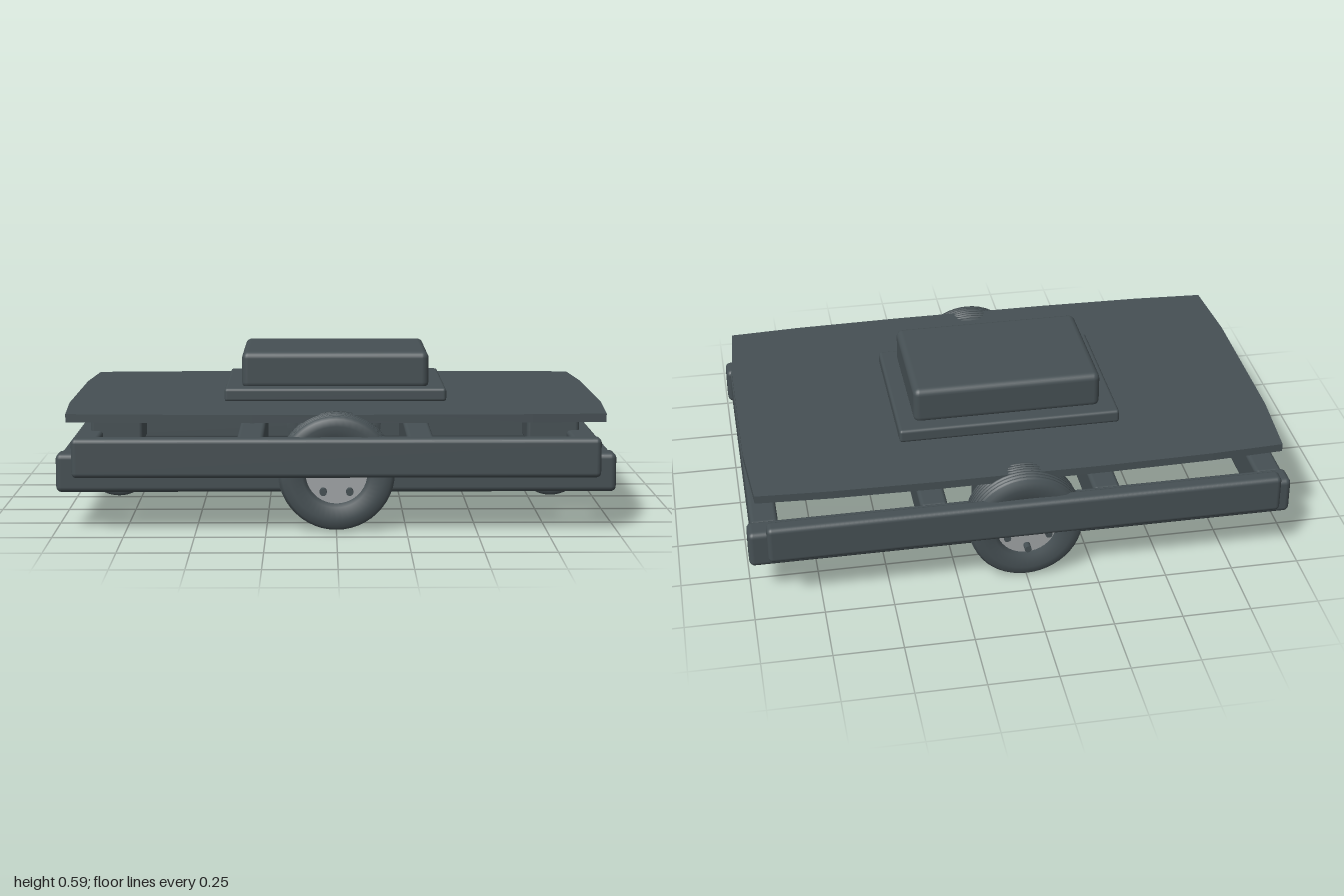
import * as THREE from 'three';
import { RoundedBoxGeometry } from 'three/addons/geometries/RoundedBoxGeometry.js';

const body = new THREE.MeshStandardMaterial({ color: 0x465054 });
body.name = 'dark slate';
const metal = new THREE.MeshStandardMaterial({ color: 0xa0a4a6 });
metal.name = 'hub grey';

export function createModel() {
  const model = new THREE.Group();
  model.name = 'wheeledPlatform';

  const add = (name, geometry, material, parent = model) => {
    const mesh = new THREE.Mesh(geometry, material);
    mesh.name = name;
    parent.add(mesh);
    return mesh;
  };
  // Rounded box given by its limits on each axis
  const box = (name, [x0, x1], [y0, y1], [z0, z1], r = 0.015, parent = model) => {
    const mesh = add(name, new RoundedBoxGeometry(x1 - x0, y1 - y0, z1 - z0, 3, r), body, parent);
    mesh.position.set((x0 + x1) / 2, (y0 + y1) / 2, (z0 + z1) / 2);
    return mesh;
  };
  // The same box on the front and back sides
  const sides = (name, x, y, [z0, z1], r) => {
    box(name + 'Front', x, y, [z0, z1], r);
    box(name + 'Back', x, y, [-z1, -z0], r);
  };

  // Tyre ring around the local y axis, with grooves round the tread
  const tyre = (radius, inner, width, grooves) => {
    const h = width / 2, depth = radius * 0.035, points = [];
    const p = (r, y) => points.push(new THREE.Vector2(r, y));
    p(inner, -h * 0.7);
    p(inner + 0.015, -h * 0.95);
    p(radius * 0.8, -h);
    p(radius * 0.92, -h * 0.94);
    const step = (1.5 * h) / grooves;
    for (let i = 0; i < grooves; i++) {
      const y = -0.75 * h + i * step;
      const crown = radius - radius * 0.05 * ((y + step / 2) / h) ** 2;
      p(crown, y + step * 0.08);
      p(crown, y + step * 0.65);
      p(crown - depth, y + step * 0.72);
      p(crown - depth, y + step * 0.98);
    }
    p(radius * 0.97, 0.78 * h);
    p(radius * 0.92, h * 0.94);
    p(radius * 0.8, h);
    p(inner + 0.015, h * 0.95);
    p(inner, h * 0.7);
    p(inner, -h * 0.7);
    return new THREE.LatheGeometry(points, 48);
  };

  // Chassis frame
  sides('sideRail', [-1, 1], [0.14, 0.28], [0.53, 0.623], 0.02);
  for (const s of [-1, 1]) {
    const span = (a, b) => (s > 0 ? [a, b] : [-b, -a]);
    const tag = s > 0 ? 'Left' : 'Right';
    box('endBeam' + tag, span(0.885, 0.985), [0.138, 0.28], [-0.55, 0.55]);
    box('crossBeam' + tag, span(0.27, 0.37), [0.14, 0.28], [-0.55, 0.55]);
  }
  sides('bumperBar', [-0.935, 0.935], [0.205, 0.347], [0.64, 0.703], 0.018);
  sides('motorBox', [-0.15, 0.15], [0.105, 0.33], [0.315, 0.54], 0.02);

  // Deck plate with gently bowed edges
  const outline = [];
  const quarter = [[0.985, 0.3], [0.965, 0.585], [0.7, 0.6], [0.3, 0.608]];
  for (const [x, z] of quarter) outline.push([x, z]);
  for (const [x, z] of [...quarter].reverse()) outline.push([-x, z]);
  for (const [x, z] of quarter) outline.push([-x, -z]);
  for (const [x, z] of [...quarter].reverse()) outline.push([x, -z]);
  const deckShape = new THREE.Shape(outline.map(([x, z]) => new THREE.Vector2(x, z)));
  const deckGeometry = new THREE.ExtrudeGeometry(deckShape, { depth: 0.03, bevelEnabled: false });
  deckGeometry.rotateX(-Math.PI / 2);
  add('deck', deckGeometry, body).position.y = 0.388;

  // Raised housing on the deck
  box('housingBase', [-0.413, 0.413], [0.415, 0.466], [-0.328, 0.27], 0.012);
  box('housing', [-0.35, 0.35], [0.455, 0.595], [-0.27, 0.212], 0.025);

  // Drive wheels, hubs and bolts
  for (const s of [-1, 1]) {
    const wheel = new THREE.Group();
    wheel.name = s > 0 ? 'driveWheelFront' : 'driveWheelBack';
    wheel.position.set(0, 0.216, s * 0.597);
    wheel.rotation.x = s * Math.PI / 2;
    model.add(wheel);
    add('tyre', tyre(0.211, 0.108, 0.145, 7), body, wheel);
    add('hub', new THREE.CylinderGeometry(0.11, 0.11, 0.11, 40), metal, wheel);
    for (let i = 0; i < 5; i++) {
      const a = Math.PI / 2 + Math.PI / 5 + i * Math.PI * 2 / 5;
      const bolt = add('bolt', new THREE.CylinderGeometry(0.013, 0.013, 0.034, 12), body, wheel);
      bolt.position.set(0.08 * Math.cos(a), 0.068, 0.08 * Math.sin(a));
    }
  }

  // Casters: mount block, fork arms and small wheel
  for (const s of [-1, 1]) {
    const caster = new THREE.Group();
    caster.name = s > 0 ? 'casterLeft' : 'casterRight';
    caster.position.x = s * 0.833;
    model.add(caster);
    box('mount', [-0.1, 0.1], [0.23, 0.395], [-0.1, 0.1], 0.015, caster);
    for (const z of [-0.06, 0.06]) {
      box('forkArm', [-0.014, 0.014], [0.11, 0.25], [z - 0.006, z + 0.006], 0.004, caster);
    }
    const wheel = new THREE.Group();
    wheel.name = 'casterWheel';
    wheel.position.y = 0.147;
    wheel.rotation.x = Math.PI / 2;
    caster.add(wheel);
    add('tyre', tyre(0.132, 0.063, 0.116, 5), body, wheel);
    add('hub', new THREE.CylinderGeometry(0.065, 0.065, 0.1, 32), metal, wheel);
  }
  return model;
}
